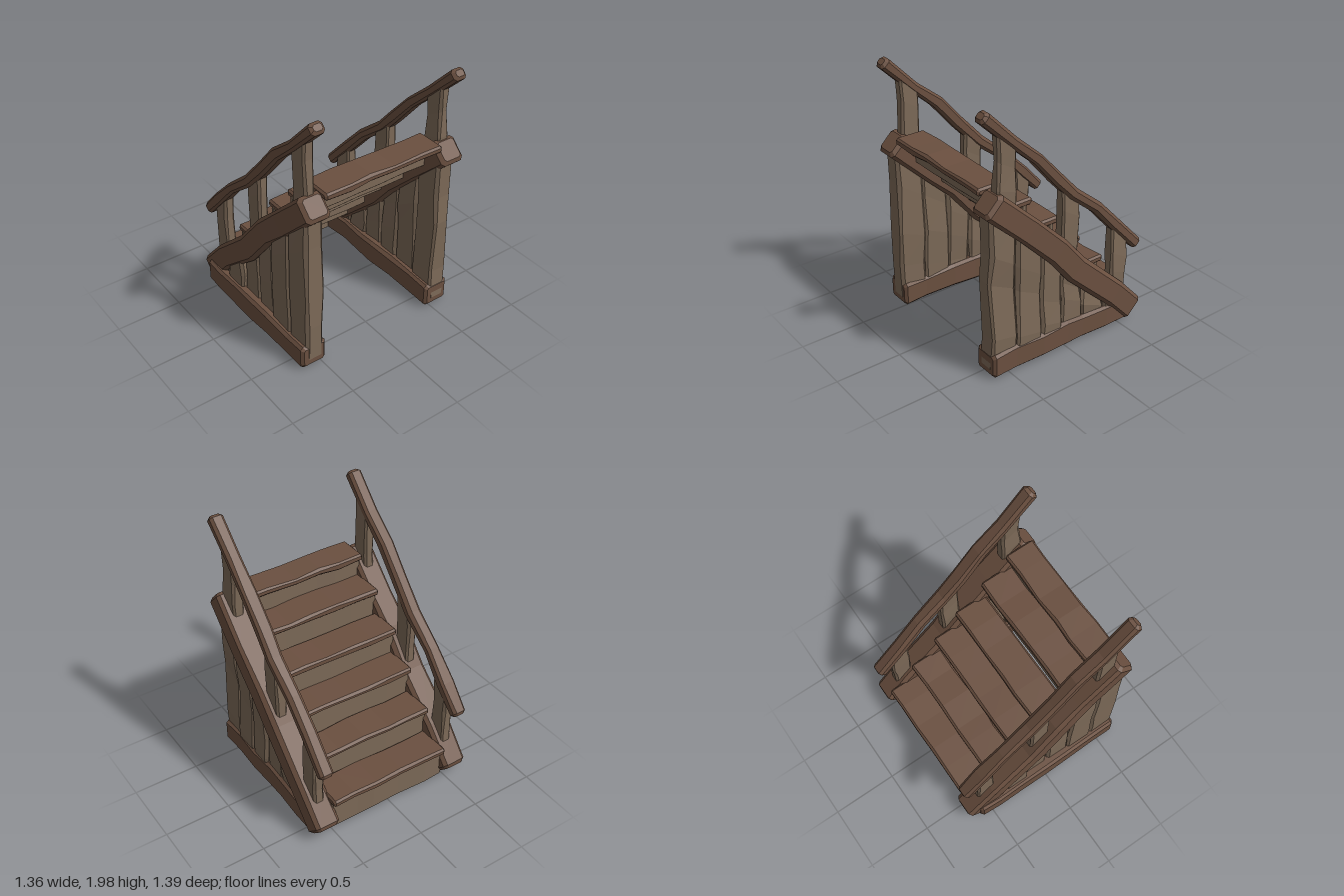
import * as THREE from 'three';

const darkWood = new THREE.MeshStandardMaterial({ color: 0x6b5040, flatShading: true });
const paleWood = new THREE.MeshStandardMaterial({ color: 0x7d6a58, flatShading: true });

// Small seeded generator for the hand-hewn wobble, -1..1
let seed = 7;
const rand = () => {
  seed = (seed * 16807) % 2147483647;
  return (seed / 2147483647) * 2 - 1;
};

const X = new THREE.Vector3(1, 0, 0);
const Z = new THREE.Vector3(0, 0, 1);

// Chamfered timber swept from a to b. w is its size along u, h its size across.
// bends shifts the inner sections across; slope shears the far end.
function timber(name, material, a, b, u, w, h, opts = {}) {
  const { chamfer = 0.02, wobble = 0.008, bends = [0, 0, 0, 0], slope = 0 } = opts;
  const start = new THREE.Vector3(...a);
  const dir = new THREE.Vector3(...b).sub(start);
  const length = dir.length();
  dir.normalize();
  const v = new THREE.Vector3().crossVectors(dir, u);

  // Sections: inset end, full end, bent middle, full end, inset end
  const n = bends.length;
  const sections = [{ t: 0, inset: chamfer, bend: 0 }, { t: chamfer, inset: 0, bend: 0 }];
  bends.forEach((bend, i) => sections.push({
    t: length * (i + 1 + rand() * 0.2) / (n + 1), inset: 0, bend, rough: true,
  }));
  sections.push({ t: length - chamfer, inset: 0, bend: 0 }, { t: length, inset: chamfer, bend: 0 });

  const pos = [], index = [];
  for (const s of sections) {
    const k = s.rough ? wobble : 0;
    const du = rand() * k, dv = s.bend + rand() * k;
    const hw = w / 2 - s.inset + rand() * k, hh = h / 2 - s.inset + rand() * k;
    const c = chamfer * (s.inset ? 0.6 : 1 + (k ? rand() * 0.3 : 0));
    const ring = [[hw, -hh + c], [hw, hh - c], [hw - c, hh], [-hw + c, hh],
      [-hw, hh - c], [-hw, -hh + c], [-hw + c, -hh], [hw - c, -hh]];
    for (const [p, q] of ring) {
      const along = s.t + slope * q * (s.t / length);
      const pt = start.clone().addScaledVector(dir, along)
        .addScaledVector(u, p + du).addScaledVector(v, q + dv);
      pos.push(pt.x, pt.y, pt.z);
    }
  }
  const last = (sections.length - 1) * 8;
  for (let i = 0; i < last; i += 8) {
    for (let j = 0; j < 8; j++) {
      const k = (j + 1) % 8;
      index.push(i + j, i + k, i + 8 + k, i + j, i + 8 + k, i + 8 + j);
    }
  }
  for (let j = 1; j < 7; j++) {
    index.push(0, j + 1, j, last, last + j, last + j + 1);
  }
  const indexed = new THREE.BufferGeometry();
  indexed.setAttribute('position', new THREE.Float32BufferAttribute(pos, 3));
  indexed.setIndex(index);
  const geometry = indexed.toNonIndexed();
  geometry.computeVertexNormals();
  const mesh = new THREE.Mesh(geometry, material);
  mesh.name = name;
  return mesh;
}

// One side: stringer, base beam, wall planks, posts and handrail
function createSide(s) {
  const side = new THREE.Group();
  side.name = s > 0 ? 'leftSide' : 'rightSide';
  const x = s * 0.563 + 0.012;

  side.add(timber('stringer', darkWood, [x, 0.077, -0.64], [x, 1.365, 0.643], X, 0.19, 0.19,
    { chamfer: 0.025, wobble: 0.006, bends: [0.012, -0.012, 0.015, 0.008] }));

  const bx = s * 0.559 - 0.009;
  side.add(timber('baseBeam', darkWood, [bx, 0.112, -0.6], [bx, 0.112, 0.645], X, 0.205, 0.185,
    { wobble: 0.012, bends: [0, 0.004, -0.004, 0.005, 0] }));

  // Upright wall planks, cut to the slope under the stringer
  const edges = [0.645, 0.435, 0.23, 0.04, -0.15, -0.34, -0.49];
  for (let i = 0; i < edges.length - 1; i++) {
    const z = (edges[i] + edges[i + 1]) / 2;
    const px = s * (0.56 + rand() * 0.01);
    side.add(timber('wallPlank', paleWood, [px, 0.06, z], [px, z + 0.71, z], X,
      0.14, edges[i] - edges[i + 1] + 0.004, { slope: -0.9, bends: [0, 0, 0] }));
  }

  // Posts between stringer and rail
  const postX = s * 0.56 + 0.014;
  for (const z of [0.5, -0.035, -0.5]) {
    side.add(timber('railPost', paleWood, [postX, z + 0.73, z], [postX, z + 1.275, z], X,
      0.08, 0.15, { chamfer: 0.015, slope: -0.9, wobble: 0.006, bends: [0, 0] }));
  }

  const rx = s * 0.569 + 0.012;
  side.add(timber('handrail', darkWood, [rx, 0.605, -0.677], [rx, 1.972, 0.683], X, 0.105, 0.085,
    { wobble: 0.005, bends: [0.008, 0.018, -0.014, 0.004, 0.018, 0.004] }));
  return side;
}

export function createModel() {
  const model = new THREE.Group();
  model.name = 'woodenStairs';
  model.add(createSide(1), createSide(-1));

  // Treads climb towards +z, each with a riser below its nose
  const noses = [-0.66, -0.445, -0.225, -0.025, 0.21, 0.42];
  const tops = [0.31, 0.55, 0.785, 1.015, 1.235, 1.43];
  noses.forEach((nose, i) => {
    const y = tops[i] - 0.03, depth = i === 5 ? 0.235 : 0.265;
    const z = nose + depth / 2;
    model.add(timber('tread', darkWood, [-0.475, y, z], [0.505, y, z], Z, depth, 0.055,
      { chamfer: 0.014, wobble: 0.005 }));
    const low = i ? tops[i - 1] - 0.04 : 0.025;
    const ry = (low + y) / 2, rz = nose + 0.065;
    model.add(timber('riser', paleWood, [-0.48, ry, rz], [0.5, ry, rz], Z, 0.045, y - low,
      { chamfer: 0.01, wobble: 0.004 }));
  });
  return model;
}
